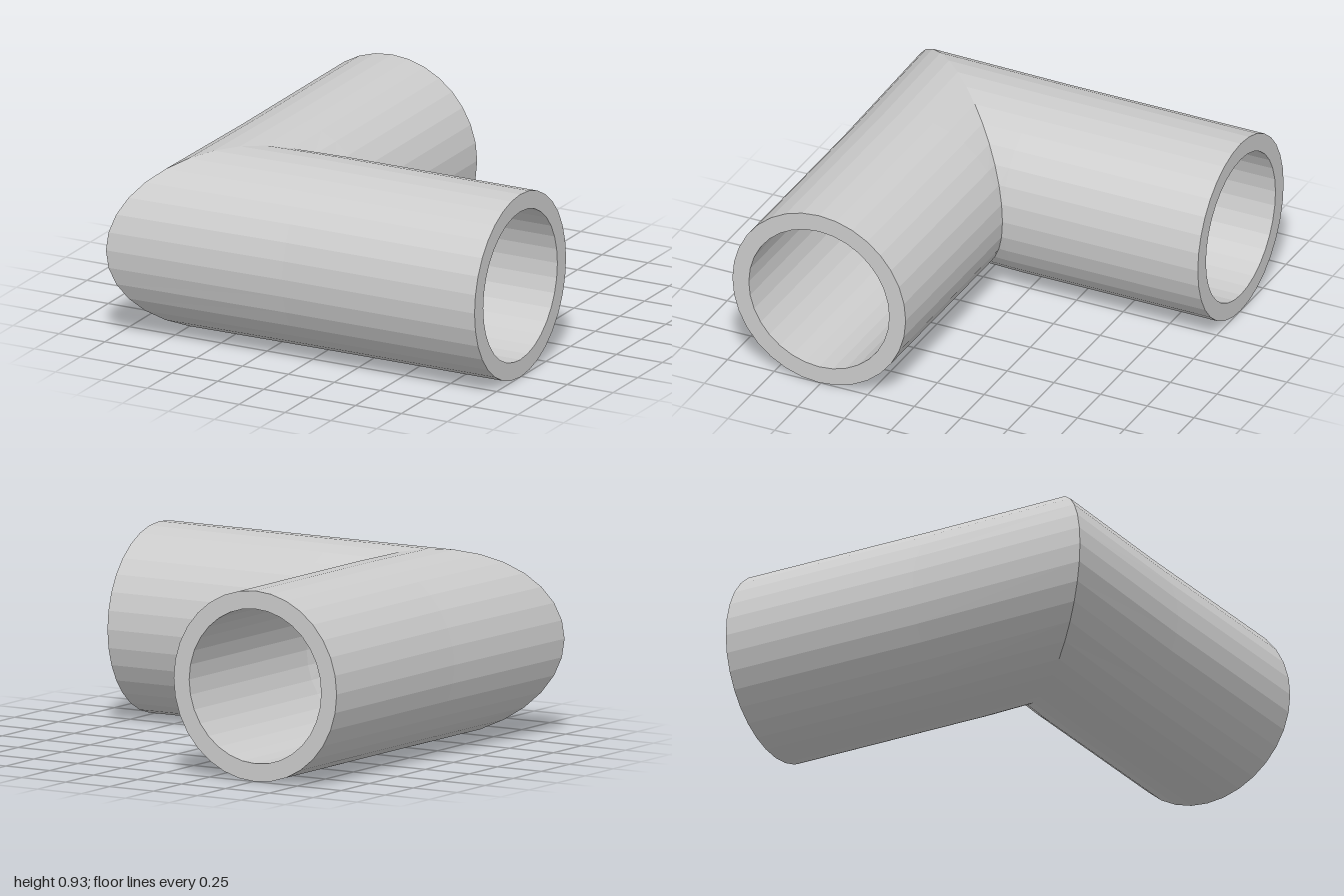
import * as THREE from 'three';

const SIDES = 32;
const AXIS_Y = 0.464; // height of both pipe axes

// Ring square to the x-running arm, at a given x
function armRing(x, radius) {
  return ringOf((c, s) => [x, AXIS_Y + radius * s, 0.51 + radius * c]);
}

// Ring lying in the diagonal mitre plane x = -z, slightly stretched outwards
function mitreRing(centre, halfWidth, halfHeight) {
  return ringOf((c, s) => {
    const d = centre + halfWidth * c;
    return [-d, AXIS_Y + halfHeight * s, d];
  });
}

function ringOf(point) {
  return Array.from({ length: SIDES }, (_, j) => {
    const t = (j / SIDES) * Math.PI * 2;
    return point(Math.cos(t), Math.sin(t));
  });
}

// Mirror a ring across the mitre plane to get the z-running arm
const mirror = (ring) => ring.map(([x, y, z]) => [-z, y, -x]);

// Wall from one open end, round the mitre, to the other open end
function wall(radius, mitre) {
  const end = armRing(1, radius);
  const bend = armRing(-0.047, radius);
  return [end, bend, mitre, mirror(bend), mirror(end)];
}

// Skin a closed cycle of rings
function loft(rings) {
  const positions = rings.flat(2);
  const index = [];
  const n = rings.length;
  for (let i = 0; i < n; i++) {
    for (let j = 0; j < SIDES; j++) {
      const i2 = (i + 1) % n;
      const j2 = (j + 1) % SIDES;
      const a = i * SIDES + j, b = i2 * SIDES + j;
      const c = i * SIDES + j2, d = i2 * SIDES + j2;
      index.push(a, c, b, c, d, b);
    }
  }
  const geometry = new THREE.BufferGeometry();
  geometry.setAttribute('position', new THREE.Float32BufferAttribute(positions, 3));
  geometry.setIndex(index);
  const flat = geometry.toNonIndexed();
  flat.computeVertexNormals();
  return flat;
}

export function createModel() {
  const group = new THREE.Group();
  group.name = 'pipeElbow';

  // Outer wall, then back along the bore; the joins form the end rims
  const outer = wall(0.464, mitreRing(0.521, 0.475, 0.461));
  const bore = wall(0.376, mitreRing(0.518, 0.368, 0.357));
  const material = new THREE.MeshStandardMaterial({ color: 0xcccccc, flatShading: true });
  const pipe = new THREE.Mesh(loft([...outer, ...bore.reverse()]), material);
  pipe.name = 'mitredPipe';
  group.add(pipe);

  return group;
}
